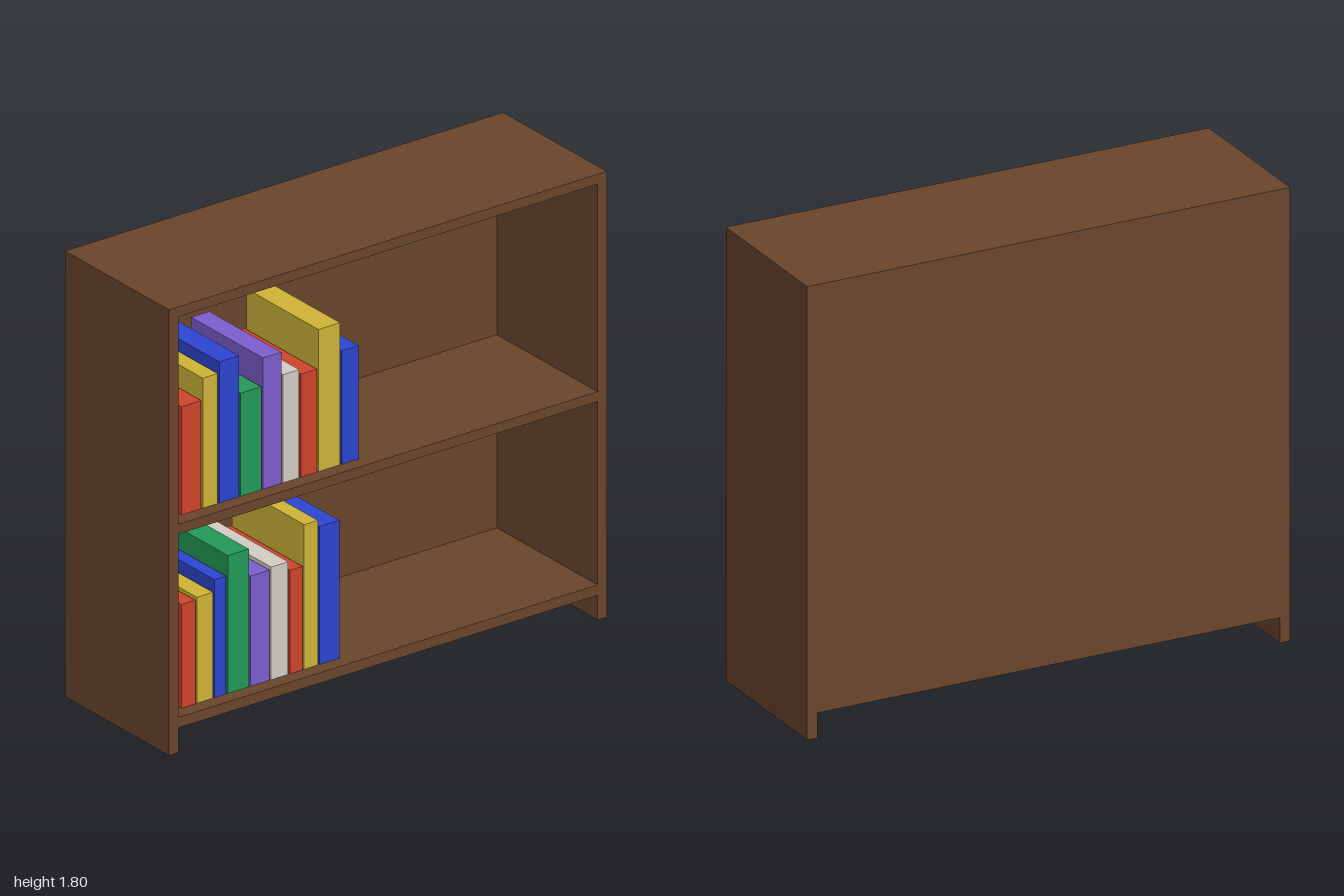
import * as THREE from 'three';

const paint = (name, color) => {
  const m = new THREE.MeshStandardMaterial({ color });
  m.name = name;
  return m;
};

export function createModel() {
  const model = new THREE.Group();
  model.name = 'bookcase';

  const wood = paint('brown wood', 0x6b472d);
  const covers = {
    red: paint('red cover', 0xd1452c),
    yellow: paint('yellow cover', 0xd0b637),
    blue: paint('blue cover', 0x2d46d3),
    green: paint('green cover', 0x239b58),
    purple: paint('purple cover', 0x7e5ed0),
    white: paint('white cover', 0xd5d0c8),
  };

  // Box given by its lower and upper corners
  const box = (parent, name, material, [x0, y0, z0], [x1, y1, z1]) => {
    const mesh = new THREE.Mesh(new THREE.BoxGeometry(x1 - x0, y1 - y0, z1 - z0), material);
    mesh.position.set((x0 + x1) / 2, (y0 + y1) / 2, (z0 + z1) / 2);
    mesh.name = name;
    parent.add(mesh);
  };

  const D = 0.318; // half depth
  const W = 0.957; // half inner width
  const T = 0.02; // back panel thickness

  // Carcass: two sides, back panel and three boards
  box(model, 'leftSide', wood, [W, 0, -D], [1, 1.8, D]);
  box(model, 'rightSide', wood, [-1, 0, -D], [-W, 1.8, D]);
  box(model, 'backPanel', wood, [-W, 0.1, -D], [W, 1.8, -D + T]);
  const boards = { bottomShelf: [0.1, 0.142], middleShelf: [0.882, 0.922], topBoard: [1.76, 1.8] };
  for (const [name, [y0, y1]] of Object.entries(boards)) {
    box(model, name, wood, [-W, y0, -D + T], [W, y1, D]);
  }

  // Rows of books: colour, width, height
  const rows = [
    ['upperBooks', 0.922, [
      ['red', 0.09, 0.437], ['yellow', 0.068, 0.525], ['blue', 0.09, 0.57],
      ['green', 0.094, 0.416], ['purple', 0.084, 0.53], ['white', 0.074, 0.437],
      ['red', 0.073, 0.416], ['yellow', 0.099, 0.574], ['blue', 0.077, 0.458],
    ]],
    ['lowerBooks', 0.142, [
      ['red', 0.063, 0.418], ['yellow', 0.073, 0.428], ['blue', 0.053, 0.476],
      ['green', 0.096, 0.557], ['purple', 0.087, 0.445], ['white', 0.078, 0.455],
      ['red', 0.058, 0.418], ['yellow', 0.063, 0.584], ['blue', 0.09, 0.557],
    ]],
  ];
  const gap = 0.0075;
  for (const [name, y, books] of rows) {
    const row = new THREE.Group();
    row.name = name;
    let x = -0.9;
    for (const [color, w, h] of books) {
      box(row, `${color}Book`, covers[color], [x, y, -0.18], [x + w, y + h, 0.26]);
      x += w + gap;
    }
    model.add(row);
  }
  return model;
}
